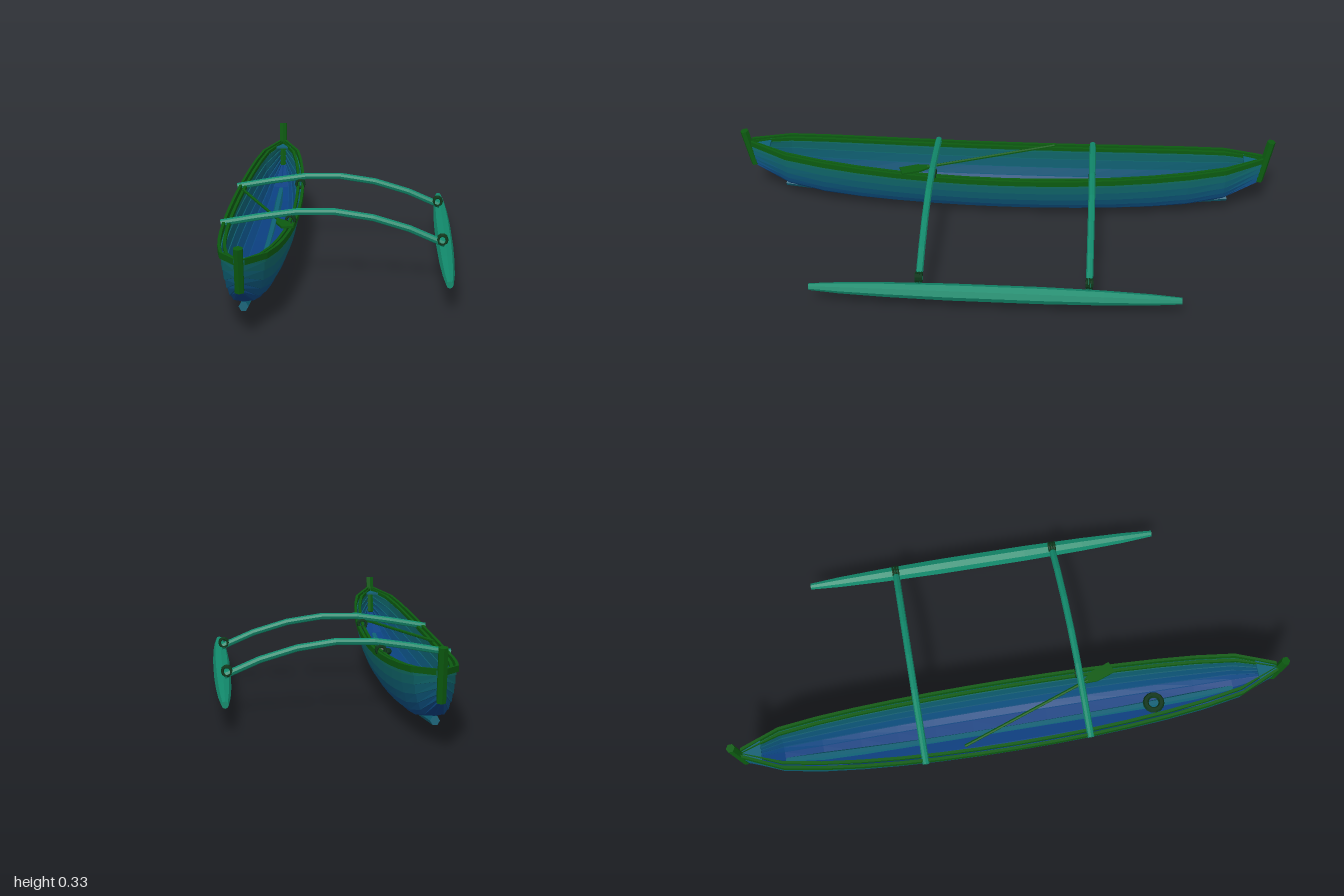
import * as THREE from 'three';

const CX = -0.275, END = 0.96, N = 14;
const mat = (color) => new THREE.MeshStandardMaterial({ color, flatShading: true, side: THREE.DoubleSide });
const green = mat(0x0c5a10), teal = mat(0x128a6c), dark = mat(0x0c3418), keelBlue = mat(0x0d5f74);

// Hull lines, t runs from -1 (back) to 1 (front)
const beam = (t) => 0.008 + 0.114 * Math.sqrt(Math.max(0, 1 - t * t));
const sheer = (t) => 0.2 + 0.06 * t * t;
const bottom = (t) => 0.03 + 0.05 * t * t + 0.08 * t ** 8;

// Half cross-section: share of beam, share of depth
const section = [[0, 0], [0.42, 0.03], [0.62, 0.13], [0.76, 0.28], [0.87, 0.46], [0.94, 0.66], [0.98, 0.84], [1, 1]];
const strakeColors = [0x0b3f80, 0x0b4580, 0x0c4c7c, 0x0c5476, 0x0d5c6e, 0x0e6266, 0x0f665c];

function add(parent, name, geometry, material, x = 0, y = 0, z = 0) {
  const mesh = new THREE.Mesh(geometry, material);
  mesh.name = name;
  mesh.position.set(x, y, z);
  parent.add(mesh);
  return mesh;
}

// Skin over cross-sections: ring(t) gives the [x, y] points at each station
function skin(ring) {
  const pos = [], index = [];
  let m = 0;
  for (let i = 0; i <= N; i++) {
    const t = -1 + (2 * i) / N, pts = ring(t);
    m = pts.length;
    for (const [x, y] of pts) pos.push(CX + x, y, t * END);
  }
  for (let i = 0; i < N; i++) {
    for (let j = 0; j < m - 1; j++) {
      const a = i * m + j, b = a + m;
      index.push(a, a + 1, b, b, a + 1, b + 1);
    }
  }
  const g = new THREE.BufferGeometry();
  g.setAttribute('position', new THREE.Float32BufferAttribute(pos, 3));
  g.setIndex(index);
  g.computeVertexNormals();
  return g;
}

// Round pole along a curve, closed at both ends
function pole(parent, name, points, radius, segments, sides, material) {
  const group = new THREE.Group();
  group.name = name;
  const curve = new THREE.CatmullRomCurve3(points);
  add(group, 'shaft', new THREE.TubeGeometry(curve, segments, radius, sides), material);
  for (const u of [0, 1]) {
    const p = curve.getPoint(u);
    const cap = add(group, 'endCap', new THREE.CircleGeometry(radius, sides), material, p.x, p.y, p.z);
    cap.lookAt(p.clone().addScaledVector(curve.getTangent(u), u ? 1 : -1));
  }
  parent.add(group);
  return group;
}

function makeHull() {
  const hull = new THREE.Group();
  hull.name = 'hull';
  for (const s of [-1, 1]) {
    // Overlapping planks, each stepping out over the one below
    strakeColors.forEach((color, k) => {
      const point = (t, [u, v], out = 0) => [
        s * (u * beam(t) + out),
        bottom(t) + v * (sheer(t) - bottom(t)),
      ];
      const lip = k ? 0.0035 : 0;
      add(hull, 'strake', skin((t) => [
        point(t, section[k]), point(t, section[k], lip), point(t, section[k + 1]),
      ]), mat(color));
    });
    // Outer and inner rails along the sheer
    const rail = (name, inner, outer, low, high) => add(hull, name, skin((t) => {
      const x0 = s * Math.max(0, beam(t) + inner), x1 = s * Math.max(0, beam(t) + outer);
      const y0 = sheer(t) + low, y1 = sheer(t) + high;
      return [[x0, y0], [x1, y0], [x1, y1], [x0, y1], [x0, y0]];
    }), green);
    rail('outerRail', -0.001, 0.009, -0.014, 0.006);
    rail('innerRail', -0.019, -0.009, -0.01, 0.003);
  }

  // Keel, following the rocker
  const keel = [-0.84, -0.42, 0, 0.42, 0.84].map((z) =>
    new THREE.Vector3(CX, 0.021 + 0.058 * (z / 0.84) ** 2, z));
  pole(hull, 'keel', keel, 0.0155, 12, 6, keelBlue);

  // Leaning stem posts and small end decks; the back post is taller
  for (const [s, top] of [[1, 0.305], [-1, 0.335]]) {
    const a = new THREE.Vector3(CX, 0.16, s * 0.954), b = new THREE.Vector3(CX, top, s * 0.984);
    const post = add(hull, 'stemPost', new THREE.CylinderGeometry(0.016, 0.016, a.distanceTo(b), 6), green);
    post.position.copy(a).lerp(b, 0.5);
    post.rotation.x = Math.atan2(b.z - a.z, b.y - a.y);
    const shape = new THREE.Shape([[-0.045, 0.89], [0.045, 0.89], [0.008, 0.96], [-0.008, 0.96]]
      .map(([x, z]) => new THREE.Vector2(x, -s * z)));
    const deck = add(hull, 'endDeck', new THREE.ExtrudeGeometry(shape, { depth: 0.008, bevelEnabled: false }), keelBlue, CX, 0.243, 0);
    deck.rotation.x = -Math.PI / 2;
  }
  return hull;
}

function makeLashing(name, x, y, z) {
  const lashing = new THREE.Group();
  lashing.name = name;
  for (const dz of [-0.009, 0, 0.009]) {
    add(lashing, 'ropeTurn', new THREE.TorusGeometry(0.0155, 0.0048, 6, 10), dark, 0, 0, dz);
  }
  lashing.position.set(x, y, z);
  return lashing;
}

function makeOutrigger() {
  const outrigger = new THREE.Group();
  outrigger.name = 'outrigger';

  // Eight-sided float tapering to blunt ends
  const profile = [[0, -0.65], [0.012, -0.65], [0.02, -0.54], [0.026, -0.38], [0.03, -0.16],
    [0.03, 0.16], [0.026, 0.38], [0.02, 0.54], [0.012, 0.65], [0, 0.65]];
  const float = add(outrigger, 'float', new THREE.LatheGeometry(
    profile.map(([r, y]) => new THREE.Vector2(r, y)), 8), teal, 0.375, 0.1, 0);
  float.rotation.x = Math.PI / 2;

  // Two arched booms with rope lashings at rail and float
  const arch = [[-0.407, 0.205], [-0.275, 0.228], [-0.14, 0.247], [-0.015, 0.248],
    [0.115, 0.229], [0.25, 0.189], [0.372, 0.136]];
  for (const z of [-0.328, 0.263]) {
    pole(outrigger, 'boom', arch.map(([x, y]) => new THREE.Vector3(x, y, z)), 0.0125, 6, 8, teal);
    outrigger.add(makeLashing('floatLashing', 0.363, 0.152, z));
    outrigger.add(makeLashing('railLashing', -0.165, 0.217, z));
  }
  return outrigger;
}

function makePaddle() {
  // Lies slantwise across the rails, blade towards the front
  const paddle = new THREE.Group();
  paddle.name = 'paddle';
  const shaft = add(paddle, 'shaft', new THREE.CylinderGeometry(0.0055, 0.0055, 0.5, 6), green, 0, 0, -0.05);
  shaft.rotation.x = Math.PI / 2;
  const blade = new THREE.Shape([[-0.008, 0.19], [0.008, 0.19], [0.021, 0.23], [0.021, 0.3], [-0.021, 0.3], [-0.021, 0.23]]
    .map(([x, z]) => new THREE.Vector2(x, z)));
  add(paddle, 'blade', new THREE.ExtrudeGeometry(blade, { depth: 0.007, bevelEnabled: false }), green, 0, 0.0035, 0)
    .rotation.x = Math.PI / 2;
  paddle.position.set(-0.268, 0.221, 0.1);
  paddle.rotation.y = Math.atan2(0.19, 0.53);
  return paddle;
}

export function createModel() {
  const model = new THREE.Group();
  model.name = 'outriggerCanoe';
  model.add(makeHull(), makeOutrigger(), makePaddle());

  // Coil of rope on the hull floor
  add(model, 'ropeCoil', new THREE.TorusGeometry(0.029, 0.011, 6, 14), dark, CX, 0.062, 0.53)
    .rotation.x = Math.PI / 2;
  return model;
}
